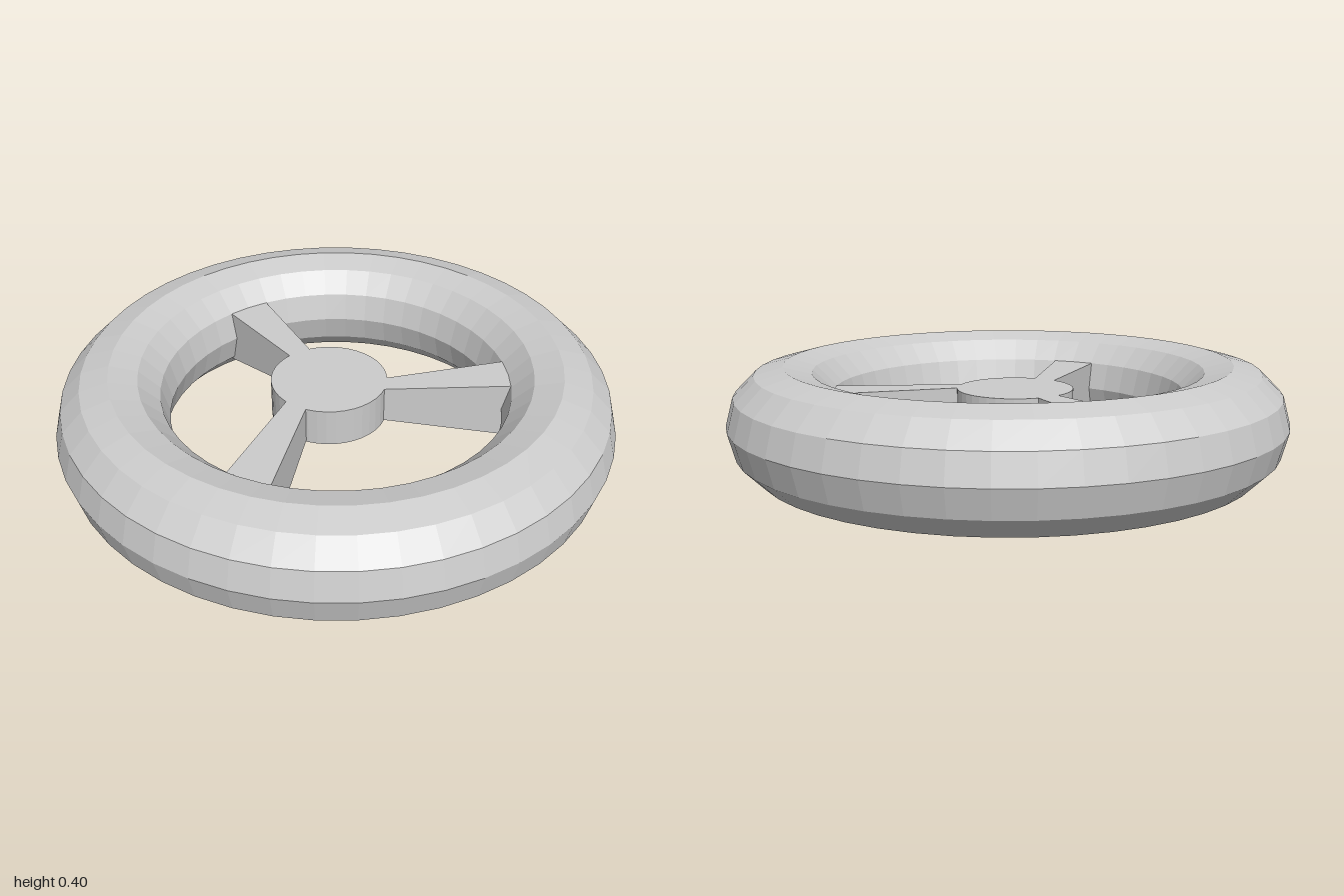
import * as THREE from 'three';

const material = new THREE.MeshStandardMaterial({ color: 0xcccccc, flatShading: true });

function addPart(group, geometry, name) {
  const mesh = new THREE.Mesh(geometry, material);
  mesh.name = name;
  group.add(mesh);
  return mesh;
}

// Wedge-shaped spoke between an inner and an outer edge, each given by two
// [x, z] corners: a is the left side looking outward, b the right side.
function spokeGeometry(innerA, innerB, outerA, outerB) {
  const top = 0.3, innerBottom = 0.165, outerBottom = 0.085;
  const geometry = new THREE.BoxGeometry(1, 1, 1);
  const p = geometry.attributes.position;
  for (let i = 0; i < p.count; i++) {
    const inner = p.getZ(i) > 0;
    const [from, to] = p.getX(i) < 0 ? [innerA, outerA] : [innerB, outerB];
    // run on a little into the hub and into the ring
    const t = inner ? -0.2 : 1.12;
    const y = p.getY(i) > 0 ? top : THREE.MathUtils.lerp(innerBottom, outerBottom, t);
    p.setXYZ(i, THREE.MathUtils.lerp(from[0], to[0], t), y, THREE.MathUtils.lerp(from[1], to[1], t));
  }
  geometry.computeVertexNormals();
  return geometry;
}

export function createModel() {
  const group = new THREE.Group();
  group.name = 'wheel';

  // faceted outer ring lying flat
  const ring = new THREE.TorusGeometry(0.8, 0.2, 12, 48);
  ring.rotateX(Math.PI / 2);
  addPart(group, ring, 'ring').position.y = 0.2;

  // slightly off-centre hub disc
  const hub = new THREE.CylinderGeometry(0.21, 0.21, 0.14, 40);
  addPart(group, hub, 'hub').position.set(-0.01, 0.23, -0.03);

  // three flared spokes
  const spokes = {
    backSpoke: [[-0.05, -0.24], [0.037, -0.24], [-0.08, -0.63], [0.08, -0.63]],
    rightSpoke: [[-0.183, 0.085], [-0.21, 0.005], [-0.5, 0.375], [-0.58, 0.235]],
    leftSpoke: [[0.165, 0.085], [0.115, 0.14], [0.58, 0.235], [0.5, 0.375]],
  };
  for (const [name, corners] of Object.entries(spokes)) {
    addPart(group, spokeGeometry(...corners), name);
  }

  return group;
}
